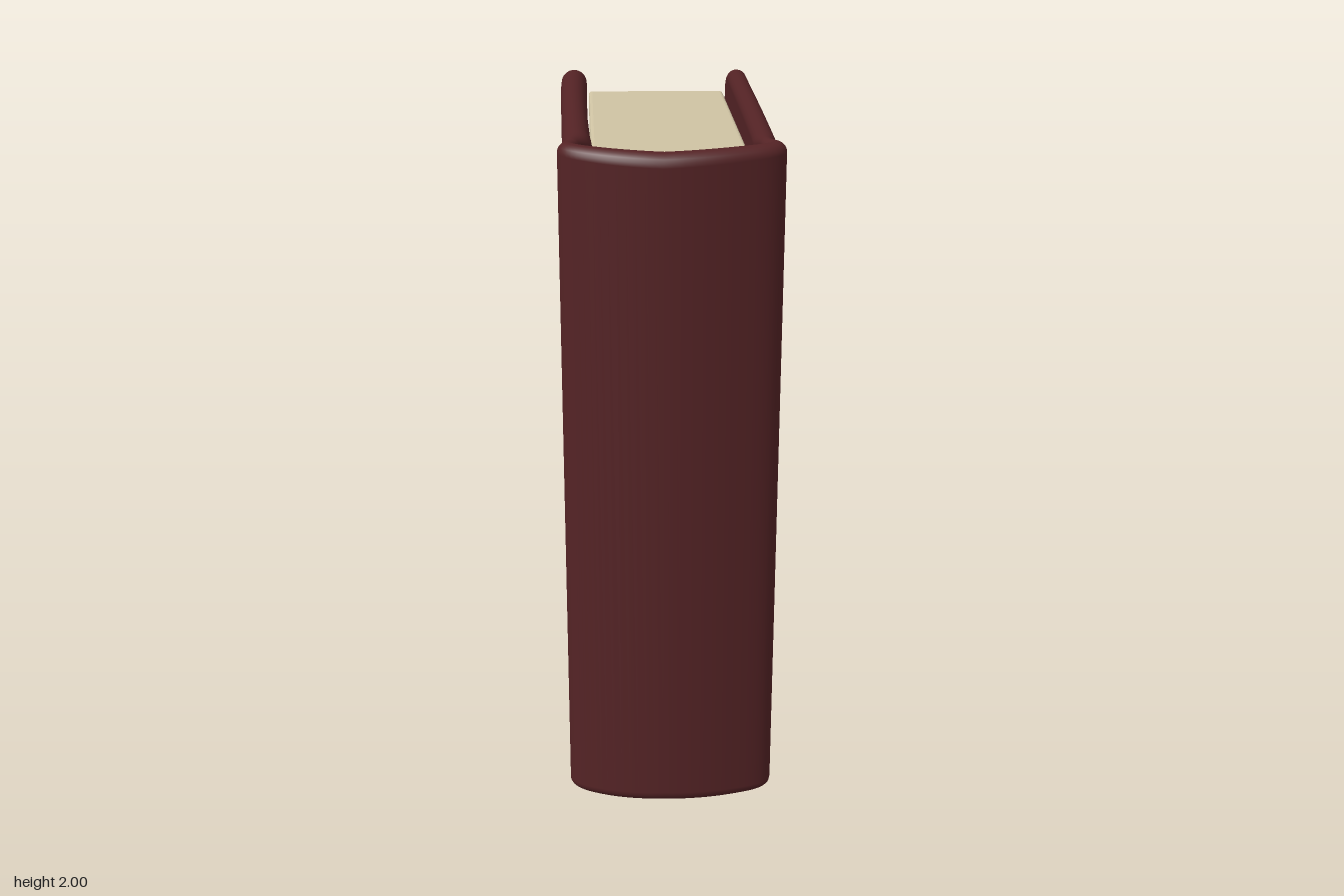
import * as THREE from 'three';

const material = (name, color) => new THREE.MeshStandardMaterial({ name, color });

// Half-thickness stadium sections swept along one path: left board, hinge, spine, hinge, right board
function caseGeometry() {
  // x, z, thickness of the centre line
  const path = [
    [-0.29, -0.825, 0.085], [-0.289, -0.7, 0.088], [-0.28, -0.4, 0.085], [-0.264, 0, 0.08], [-0.243, 0.45, 0.08],
    [-0.238, 0.57, 0.08], [-0.25, 0.645, 0.045], [-0.255, 0.7, 0.06], [-0.17, 0.752, 0.07], [0, 0.784, 0.075],
    [0.19, 0.755, 0.07], [0.3, 0.702, 0.06], [0.283, 0.645, 0.04], [0.281, 0.57, 0.062], [0.282, 0.45, 0.064],
    [0.284, 0, 0.066], [0.284, -0.4, 0.067], [0.284, -0.7, 0.068], [0.282, -0.825, 0.068],
  ];
  const curve = new THREE.CatmullRomCurve3(path.map(([x, z, t]) => new THREE.Vector3(x, t, z)));
  const tips = [curve.getPoint(0), curve.getPoint(1)];

  // Samples crowd towards both free ends, where the corners are rounded
  const ends = Array.from({ length: 15 }, (_, i) => 0.06 * (i / 15) ** 2);
  const us = [...ends];
  for (let i = 0; i <= 120; i++) us.push(0.06 + 0.88 * i / 120);
  us.push(...ends.map((u) => 1 - u).reverse());

  const arc = 10, ring = 2 * (arc + 1), radius = 0.12;
  const positions = [], index = [];
  us.forEach((u, i) => {
    const p = curve.getPoint(u), d = curve.getTangent(u);
    const len = Math.hypot(d.x, d.z);
    const nx = -d.z / len, nz = d.x / len;
    const s = Math.min(...tips.map((e) => Math.hypot(p.x - e.x, p.z - e.z)));
    const full = p.y / 2;
    const t = s < full ? Math.sqrt(Math.max(0, full ** 2 - (full - s) ** 2)) : full;
    const h = s < radius ? 1 - radius + Math.sqrt(radius ** 2 - (radius - s) ** 2) : 1;
    const spineDip = 0.012 * Math.max(0, 1 - Math.abs(p.x) / 0.3) * (p.z > 0.65 ? 1 : 0);
    for (let j = 0; j < ring; j++) {
      const top = j <= arc;
      const a = Math.PI * (top ? j / arc : 1 + (j - arc - 1) / arc);
      const y = 1 + (top ? 1 : -1) * (h - spineDip - t) + t * Math.sin(a);
      const out = t * Math.cos(a);
      positions.push(p.x + nx * out, y, p.z + nz * out);
      if (i < us.length - 1) {
        const k = i * ring + j, m = i * ring + (j + 1) % ring;
        index.push(k, k + ring, m, m, k + ring, m + ring);
      }
    }
  });
  const geometry = new THREE.BufferGeometry();
  geometry.setAttribute('position', new THREE.Float32BufferAttribute(positions, 3));
  geometry.setIndex(index);
  geometry.computeVertexNormals();
  return geometry;
}

// Upright block from a plan outline of [x, z] points
function uprightBlock(points, y0, y1, bevel) {
  const shape = new THREE.Shape(points.map(([x, z]) => new THREE.Vector2(x, -z)));
  return new THREE.ExtrudeGeometry(shape, {
    depth: y1 - y0 - 2 * bevel, bevelEnabled: bevel > 0, bevelSize: bevel,
    bevelThickness: bevel, bevelOffset: -bevel, bevelSegments: 4,
  }).rotateX(-Math.PI / 2).translate(0, y0 + bevel, 0);
}

function roundedRect(w, h, r, target = new THREE.Shape()) {
  const x = w / 2, y = h / 2;
  target.absarc(x - r, y - r, r, 0, Math.PI / 2);
  target.absarc(-x + r, y - r, r, Math.PI / 2, Math.PI);
  target.absarc(-x + r, -y + r, r, Math.PI, 1.5 * Math.PI);
  target.absarc(x - r, -y + r, r, 1.5 * Math.PI, 2 * Math.PI);
  target.closePath();
  return target;
}

export function createModel() {
  const leather = material('oxblood leather', 0x542325);
  const paper = material('aged paper', 0xcfc3a3);
  const gold = material('pale gold', 0xcfb17a);
  const groove = material('dark groove', 0x6b5836);

  const group = new THREE.Group();
  group.name = 'book';
  const add = (name, geometry, mat) => {
    const mesh = new THREE.Mesh(geometry, mat);
    mesh.name = name;
    group.add(mesh);
    return mesh;
  };

  add('cover', caseGeometry(), leather);

  // Lining that joins the pages to the inside of the spine
  add('spineLining', uprightBlock([[-0.2, 0.66], [0.245, 0.66], [0.22, 0.74], [0, 0.77], [-0.18, 0.74]], 0.07, 1.93, 0), leather);

  // Page block, slightly wedge-shaped
  add('pages', uprightBlock([
    [-0.195, 0.68], [0.255, 0.68], [0.24, -0.785], [0.12, -0.788], [0, -0.795], [-0.12, -0.788], [-0.24, -0.785],
  ], 0.09, 1.915, 0.012), paper);

  // Label plate with an engraved border on the left board
  const toSide = (geometry, x) => geometry.rotateY(Math.PI / 2).translate(x, 1.355, -0.09);
  add('label', toSide(new THREE.ExtrudeGeometry(roundedRect(0.715, 0.39, 0.04), {
    depth: 0.004, bevelThickness: 0.004, bevelSize: 0.004, bevelOffset: -0.004, bevelSegments: 2,
  }), 0.32), gold);
  const border = roundedRect(0.678, 0.352, 0.025);
  border.holes.push(roundedRect(0.668, 0.342, 0.02, new THREE.Path()));
  add('labelBorder', toSide(new THREE.ShapeGeometry(border), 0.3288), groove);

  return group;
}
